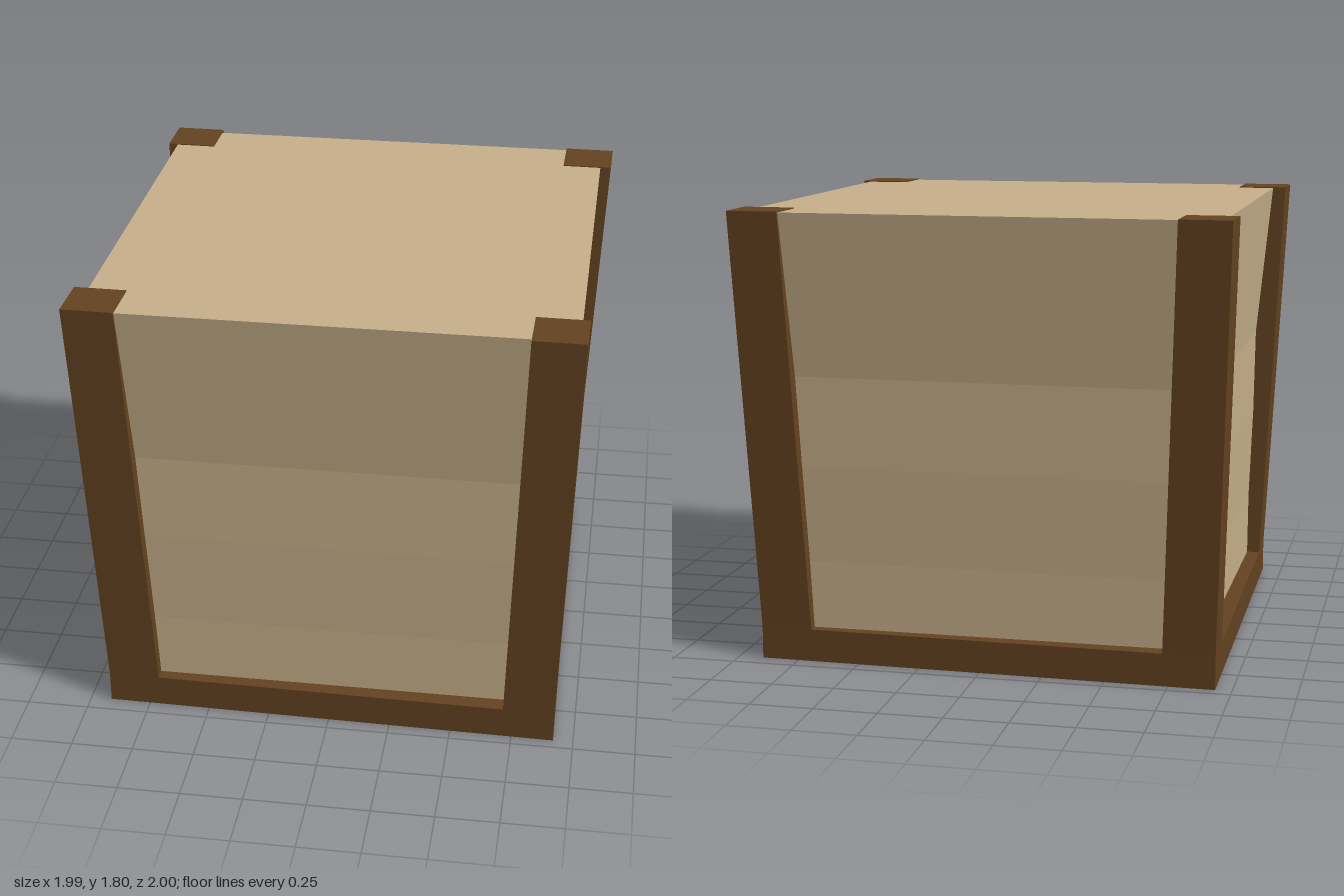
import * as THREE from 'three';

const wood = new THREE.MeshStandardMaterial({ color: 0x654321, name: 'darkWood' });
const tan = new THREE.MeshStandardMaterial({ color: 0xc8b18b, name: 'tanPanel' });

// Four-sided solid lofted through rings { y, pts }, corners counterclockwise from above
function loft(name, rings, material) {
  const pos = [];
  const v = (r, k) => [r.pts[k % 4][0], r.y, r.pts[k % 4][1]];
  const quad = (a, b, c, d) => pos.push(...a, ...b, ...c, ...a, ...c, ...d);
  for (let i = 0; i < rings.length - 1; i++) {
    const lo = rings[i], hi = rings[i + 1];
    for (let k = 0; k < 4; k++) quad(v(lo, k), v(lo, k + 1), v(hi, k + 1), v(hi, k));
  }
  const first = rings[0], last = rings[rings.length - 1];
  quad(v(first, 3), v(first, 2), v(first, 1), v(first, 0));
  quad(v(last, 0), v(last, 1), v(last, 2), v(last, 3));
  const geo = new THREE.BufferGeometry();
  geo.setAttribute('position', new THREE.Float32BufferAttribute(pos, 3));
  geo.computeVertexNormals();
  const mesh = new THREE.Mesh(geo, material);
  mesh.name = name;
  return mesh;
}

// Square post section tucked into corner k of a footprint
function postSection(foot, k, size) {
  const c = foot[k];
  const toward = (p) => {
    const len = Math.hypot(p[0] - c[0], p[1] - c[1]);
    return [(p[0] - c[0]) / len * size, (p[1] - c[1]) / len * size];
  };
  const u = toward(foot[(k + 1) % 4]), w = toward(foot[(k + 3) % 4]);
  return [c, [c[0] + u[0], c[1] + u[1]], [c[0] + u[0] + w[0], c[1] + u[1] + w[1]], [c[0] + w[0], c[1] + w[1]]];
}

export function createModel() {
  const group = new THREE.Group();
  group.name = 'crate';

  // Footprints in (x, z): the base and the wider top are turned slightly opposite ways
  const foot = [[-0.915, 0.93], [0.92, 0.955], [0.9, -0.925], [-0.935, -0.955]];
  const head = [[-1, 0.975], [0.97, 0.995], [0.99, -0.98], [-0.98, -1]];

  // Base slab
  group.add(loft('base', [{ y: 0, pts: foot }, { y: 0.13, pts: foot }], wood));

  // Outward-leaning corner posts
  ['frontRightPost', 'frontLeftPost', 'backLeftPost', 'backRightPost'].forEach((name, k) => {
    group.add(loft(name, [
      { y: 0.13, pts: postSection(foot, k, 0.207) },
      { y: 1.803, pts: postSection(head, k, 0.205) },
    ], wood));
  });

  // Panelled body, nearly upright below and flaring near the top
  const profile = [[0.12, 0.862, 0.885], [0.4, 0.863, 0.886], [0.79, 0.876, 0.899], [1.15, 0.88, 0.905], [1.799, 0.943, 0.971]];
  group.add(loft('body', profile.map(([y, x, z]) => ({
    y, pts: [[-x, z], [x, z], [x, -z], [-x, -z]],
  })), tan));

  return group;
}
